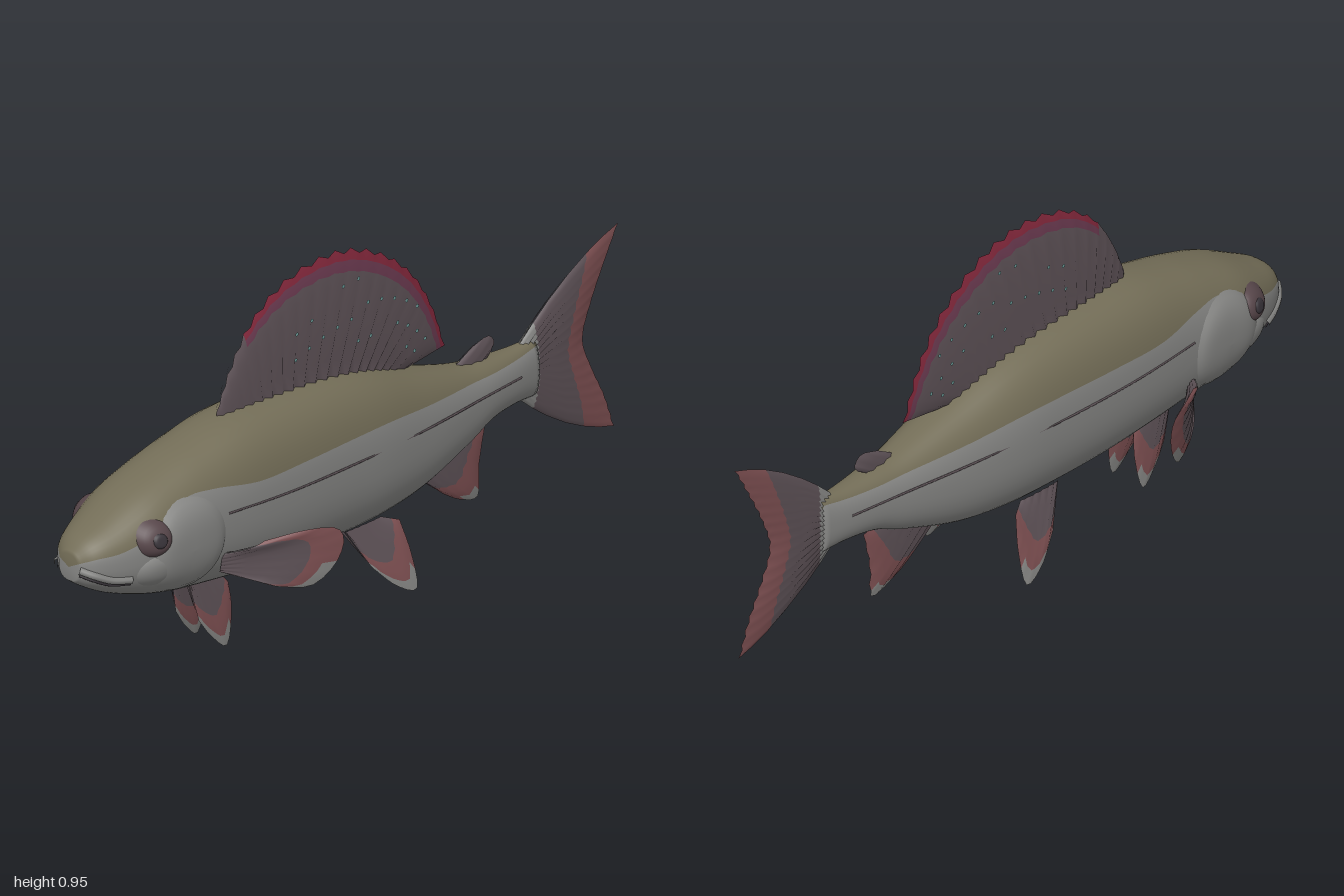
import * as THREE from 'three';

const paint = (name, color) => {
  const m = new THREE.MeshStandardMaterial({ color });
  m.name = name;
  return m;
};
const MATS = {
  olive: paint('olive back', 0x736d57),
  silver: paint('silver flank', 0x868684),
  fin: paint('dusky fin', 0x5e5257),
  red: paint('dull red band', 0x7e5052),
  crimson: paint('crimson edge', 0x84283c),
  plum: paint('plum band', 0x6b3a50),
  teal: paint('teal spot', 0x6f9f9c),
  iris: paint('brown iris', 0x57464a),
  pupil: paint('dark pupil', 0x39343a),
};
const V = (p) => new THREE.Vector3(...p);
const curve = (pts) => new THREE.CatmullRomCurve3(pts.map(V), false, 'catmullrom', 0.5);

// Body stations: x, underside y, top y, half width, lower edge of the olive back
const STATIONS = [
  [-1.0, 0.345, 0.42, 0.035, 0.4], [-0.965, 0.32, 0.455, 0.075, 0.415], [-0.9, 0.285, 0.49, 0.108, 0.425],
  [-0.8, 0.25, 0.54, 0.138, 0.46], [-0.7, 0.225, 0.575, 0.147, 0.515], [-0.6, 0.21, 0.603, 0.15, 0.515],
  [-0.45, 0.193, 0.633, 0.155, 0.492], [-0.28, 0.18, 0.636, 0.155, 0.492], [-0.1, 0.176, 0.625, 0.148, 0.492],
  [0.05, 0.18, 0.597, 0.138, 0.487], [0.22, 0.203, 0.54, 0.113, 0.468], [0.4, 0.26, 0.487, 0.08, 0.453],
  [0.5, 0.3, 0.473, 0.062, 0.447], [0.6, 0.312, 0.467, 0.045, 0.448], [0.68, 0.308, 0.47, 0.03, 0.455],
];
const heights = curve(STATIONS.map((s) => [s[0], s[1], s[2]]));
const widths = curve(STATIONS.map((s) => [s[0], s[3], s[4]]));
const POWER = 2.35;

function section(t) {
  const a = heights.getPoint(t), b = widths.getPoint(t);
  return { x: a.x, c: (a.y + a.z) / 2, h: (a.z - a.y) / 2, w: b.y, edge: b.z };
}
// Half width of the body at a given x and y
function surfaceZ(x, y) {
  let lo = 0, hi = 1;
  for (let i = 0; i < 24; i++) {
    const mid = (lo + hi) / 2;
    if (heights.getPoint(mid).x < x) lo = mid; else hi = mid;
  }
  const s = section(lo), r = Math.min(1, Math.abs(y - s.c) / s.h);
  return s.w * Math.pow(1 - Math.pow(r, POWER), 1 / POWER);
}

// Mesh from positions and a map of material name -> triangle indices
function meshFrom(name, positions, buckets) {
  const g = new THREE.BufferGeometry(), index = [], mats = [];
  g.setAttribute('position', new THREE.Float32BufferAttribute(positions, 3));
  for (const [key, tris] of Object.entries(buckets)) {
    g.addGroup(index.length, tris.length, mats.length);
    for (const k of tris) index.push(k);
    mats.push(MATS[key]);
  }
  g.setIndex(index);
  g.computeVertexNormals();
  const m = new THREE.Mesh(g, mats.length > 1 ? mats : mats[0]);
  m.name = name;
  return m;
}

function buildBody() {
  const N = 80, BACK = 14, SIDE = 30, COLS = BACK + SIDE, pos = [];
  const bend = (v) => Math.sign(v) * Math.pow(Math.abs(v), 2 / POWER);
  for (let i = -1; i <= N + 1; i++) {
    const s = section(Math.min(1, Math.max(0, i / N)));
    const k = i < 0 || i > N ? 0.001 : 1;
    const r = Math.min(0.97, Math.max(0.02, (s.edge - s.c) / s.h));
    const tb = Math.acos(Math.pow(r, POWER / 2));
    for (let j = 0; j < COLS; j++) {
      const t = j < BACK ? -tb + (2 * tb * j) / BACK : tb + ((2 * Math.PI - 2 * tb) * (j - BACK)) / SIDE;
      pos.push(s.x, s.c + k * s.h * bend(Math.cos(t)), k * s.w * bend(Math.sin(t)));
    }
  }
  const buckets = { olive: [], silver: [] };
  for (let i = 0; i < N + 2; i++) for (let j = 0; j < COLS; j++) {
    const j2 = (j + 1) % COLS, a = i * COLS + j, b = i * COLS + j2;
    buckets[j < BACK ? 'olive' : 'silver'].push(a, b, a + COLS, b, b + COLS, a + COLS);
  }
  return meshFrom('body', pos, buckets);
}

// Raised oval plate that follows the side of the body
function patch(name, mat, side, cx, cy, rx, ry, bulge, power) {
  const RINGS = 8, SEG = 36, pos = [], tris = [];
  for (let i = 0; i <= RINGS; i++) for (let j = 0; j < SEG; j++) {
    const r = i / RINGS, a = (j / SEG) * Math.PI * 2;
    const x = cx + rx * r * Math.cos(a), y = cy + ry * r * Math.sin(a);
    pos.push(x, y, side * (surfaceZ(x, y) - 0.004 + bulge * (1 - Math.pow(r, power))));
    if (i === RINGS) continue;
    const p = i * SEG + j, q = i * SEG + ((j + 1) % SEG);
    const quad = [p, p + SEG, q, q, p + SEG, q + SEG];
    tris.push(...(side > 0 ? quad : quad.reverse()));
  }
  return meshFrom(name, pos, { [mat]: tris });
}

// Thin cord lying on the body
function seam(name, mat, side, pts, radius) {
  const path = curve(pts.map(([x, y]) => [x, y, side * surfaceZ(x, y)]));
  const m = new THREE.Mesh(new THREE.TubeGeometry(path, 40, radius, 6), MATS[mat]);
  m.name = name;
  return m;
}

// Ribbed fin: rays run from the base curve (v = 0) to the tip curve (v = 1)
function buildFin(name, { base, tip, rays, thick, rows, color, jag = 0, bow = () => [0, 0, 0] }) {
  const b = curve(base), t = curve(tip), cols = rays * 2, pos = [], buckets = {};
  const normal = b.getPoint(1).sub(b.getPoint(0)).cross(t.getPoint(0.5).sub(b.getPoint(0.5))).normalize();
  const point = (u, v, side) => {
    const p = b.getPoint(u).lerp(t.getPoint(u), v).addScaledVector(V(bow(u)), 4 * v * (1 - v));
    const rib = Math.round(u * cols) % 2 ? 1 : 0.6;
    const taper = Math.pow(Math.max(0, 1 - v * v * v), 0.6) * Math.pow(Math.sin(Math.PI * Math.min(1, Math.max(0, u))), 0.4);
    return p.addScaledVector(normal, side * (0.001 + thick * rib * taper));
  };
  for (const side of [1, -1]) {
    const start = pos.length / 3;
    rows.forEach((v, i) => {
      for (let j = 0; j <= cols; j++) {
        const u = j / cols, vv = i === rows.length - 1 && j % 2 ? v - jag : v;
        pos.push(...point(u, vv, side).toArray());
        if (i === rows.length - 1 || j === cols) continue;
        const a = start + i * (cols + 1) + j, d = a + cols + 1;
        const quad = [a, a + 1, d, a + 1, d + 1, d];
        const key = color((j + 0.5) / cols, (v + rows[i + 1]) / 2);
        (buckets[key] ??= []).push(...(side > 0 ? quad : quad.reverse()));
      }
    });
  }
  return { mesh: meshFrom(name, pos, buckets), point };
}

export function createModel() {
  const model = new THREE.Group();
  model.name = 'fish';
  model.add(buildBody());

  // Sail-like dorsal fin with teal spots
  const dorsal = buildFin('dorsalFin', {
    base: [[-0.46, 0.6, 0], [-0.25, 0.61, 0], [0, 0.58, 0], [0.18, 0.53, 0]],
    tip: [[-0.465, 0.64, 0], [-0.42, 0.745, 0], [-0.35, 0.85, 0], [-0.24, 0.927, 0], [-0.1, 0.958, 0],
      [0.03, 0.943, 0], [0.15, 0.885, 0], [0.25, 0.795, 0], [0.32, 0.68, 0], [0.365, 0.555, 0]],
    rays: 20, thick: 0.033, jag: 0.03, rows: [0, 0.2, 0.4, 0.6, 0.75, 0.84, 0.92, 1],
    color: (u, v) => (u < 0.2 || v < 0.84 ? 'fin' : v < 0.92 ? 'plum' : 'crimson'),
  });
  model.add(dorsal.mesh);
  const spots = new THREE.Group();
  spots.name = 'dorsalSpots';
  for (let i = 0; i < 22; i++) for (const side of [1, -1]) {
    const spot = new THREE.Mesh(new THREE.CircleGeometry(0.0055, 8), MATS.teal);
    spot.name = 'spot';
    const u = (2 * (7 + (i * 5) % 12) + 1) / 40;
    spot.position.copy(dorsal.point(u, 0.32 + 0.5 * ((i * 0.618) % 1), 1));
    spot.position.z = side * (Math.abs(spot.position.z) + 0.003);
    if (side < 0) spot.rotation.y = Math.PI;
    spots.add(spot);
  }
  model.add(spots);

  // Forked tail
  model.add(buildFin('tailFin', {
    base: [[0.63, 0.315, 0], [0.66, 0.39, 0], [0.63, 0.462, 0]],
    tip: [[0.98, 0.122, 0], [0.945, 0.22, 0], [0.9, 0.31, 0], [0.865, 0.405, 0], [0.895, 0.5, 0], [0.945, 0.6, 0], [0.995, 0.692, 0]],
    rays: 16, thick: 0.022, jag: 0.015, rows: [0, 0.15, 0.3, 0.5, 0.68, 0.85, 1],
    color: (u, v) => (v < 0.15 ? 'silver' : v < 0.68 ? 'fin' : 'red'),
    bow: (u) => [0, 0.03 * (2 * u - 1), 0],
  }).mesh);

  // Small adipose fin and anal fin
  model.add(buildFin('adiposeFin', {
    base: [[0.47, 0.45, 0], [0.37, 0.465, 0]],
    tip: [[0.53, 0.482, 0], [0.545, 0.505, 0], [0.52, 0.53, 0], [0.46, 0.515, 0]],
    rays: 4, thick: 0.014, rows: [0, 0.3, 0.6, 0.85, 1], color: () => 'fin',
  }).mesh);
  const smallRows = [0, 0.2, 0.4, 0.55, 0.7, 0.85, 1];
  const banded = (u, v) => (v < 0.55 ? 'fin' : v > 0.85 && u < 0.65 ? 'silver' : 'red');
  model.add(buildFin('analFin', {
    base: [[0.24, 0.235, 0], [0.44, 0.3, 0]],
    tip: [[0.36, 0.135, 0], [0.42, 0.1, 0], [0.485, 0.088, 0], [0.49, 0.18, 0], [0.512, 0.285, 0]],
    rays: 8, thick: 0.018, jag: 0.02, rows: smallRows,
    color: (u, v) => (v < 0.55 ? 'fin' : v > 0.85 && u > 0.3 && u < 0.55 ? 'silver' : 'red'),
  }).mesh);

  for (const side of [1, -1]) {
    const label = side > 0 ? 'left' : 'right';
    const flip = (pts) => pts.map(([x, y, z]) => [x, y, z * side]);

    // Paired fins
    model.add(buildFin(label + 'PectoralFin', {
      base: flip([[-0.58, 0.275, 0.125], [-0.58, 0.325, 0.135]]),
      tip: flip([[-0.47, 0.225, 0.225], [-0.39, 0.213, 0.265], [-0.335, 0.26, 0.295], [-0.31, 0.325, 0.308],
        [-0.33, 0.37, 0.3], [-0.41, 0.378, 0.265], [-0.5, 0.36, 0.21]]),
      rays: 8, thick: 0.01, rows: smallRows,
      color: (u, v) => (v < 0.7 ? 'fin' : v > 0.85 && u < 0.4 ? 'silver' : 'red'),
      bow: () => [0, 0, 0.015 * side],
    }).mesh);
    model.add(buildFin(label + 'PelvicFin', {
      base: flip([[-0.1, 0.215, 0.1], [0.03, 0.215, 0.1]]),
      tip: flip([[-0.045, 0.11, 0.145], [0.02, 0.045, 0.168], [0.088, 0.018, 0.176], [0.092, 0.11, 0.15], [0.075, 0.2, 0.125]]),
      rays: 7, thick: 0.014, rows: smallRows, color: banded,
    }).mesh);
    model.add(buildFin(label + 'ThroatFin', {
      base: flip([[-0.6, 0.225, 0.03], [-0.49, 0.21, 0.03]]),
      tip: flip([[-0.57, 0.1, 0.042], [-0.53, 0.045, 0.048], [-0.478, 0.006, 0.053], [-0.455, 0.1, 0.046], [-0.46, 0.175, 0.038]]),
      rays: 7, thick: 0.013, rows: smallRows, color: banded,
    }).mesh);

    // Head details
    model.add(patch(label + 'GillCover', 'silver', side, -0.7, 0.382, 0.125, 0.143, 0.018, 7));
    model.add(patch(label + 'Cheek', 'silver', side, -0.8, 0.35, 0.075, 0.05, 0.015, 3));
    model.add(patch(label + 'Eye', 'iris', side, -0.815, 0.442, 0.052, 0.05, 0.024, 4));
    model.add(patch(label + 'Pupil', 'pupil', side, -0.815, 0.442, 0.026, 0.026, 0.029, 6));
    model.add(seam(label + 'Lip', 'silver', side, [[-0.998, 0.383], [-0.97, 0.368], [-0.93, 0.35], [-0.88, 0.342]], 0.011));
    model.add(seam(label + 'MouthLine', 'pupil', side, [[-0.998, 0.37], [-0.97, 0.354], [-0.93, 0.336], [-0.88, 0.33]], 0.005));

    // Lateral line
    model.add(seam(label + 'LateralLine', 'fin', side, [[-0.57, 0.44], [-0.35, 0.43], [-0.1, 0.425], [0.2, 0.415], [0.45, 0.405], [0.6, 0.4]], 0.003));
  }
  return model;
}
